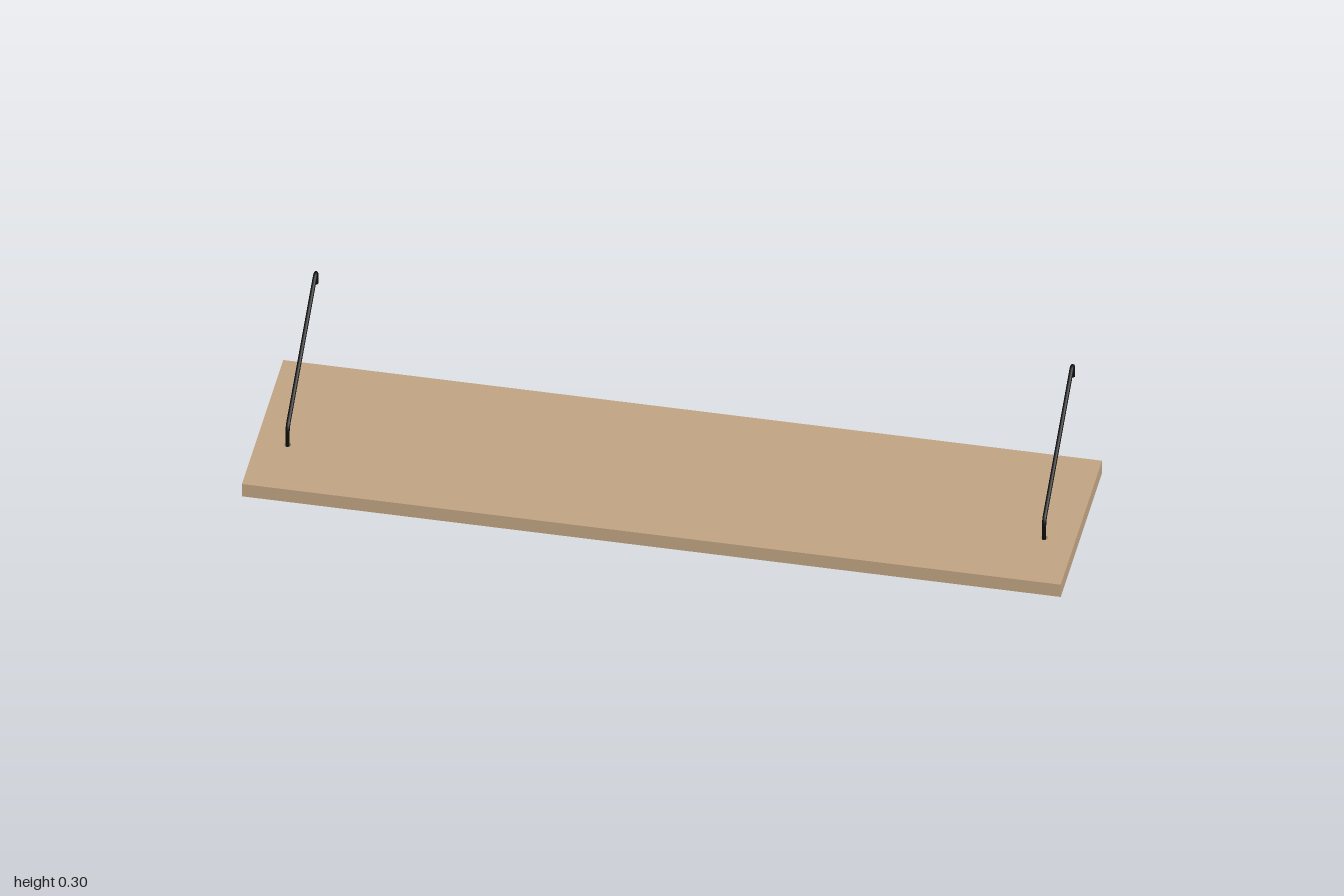
import * as THREE from 'three';

const wood = new THREE.MeshStandardMaterial({ color: 0xbfa382 });
wood.name = 'wood';
const black = new THREE.MeshStandardMaterial({ color: 0x0c0c0d });
black.name = 'black metal';

const ROD_X = 0.924, ROD_Z = 0.09;
const SPLIT = 0.016, BOTTOM = 0.002, TOP = 0.039;

// One layer of the board, with an opening below each rod
function boardLayer(name, y0, y1, makeHole) {
  const s = new THREE.Shape();
  s.moveTo(-1, -0.264).lineTo(1, -0.264).lineTo(1, 0.235).lineTo(-1, 0.235).closePath();
  for (const side of [-1, 1]) s.holes.push(makeHole(side * ROD_X));
  const g = new THREE.ExtrudeGeometry(s, { depth: y1 - y0, bevelEnabled: false, curveSegments: 10 });
  g.rotateX(-Math.PI / 2).translate(0, y0, 0);
  const mesh = new THREE.Mesh(g, wood);
  mesh.name = name;
  return mesh;
}

const roundHole = (x) => new THREE.Path().absarc(x, -ROD_Z, 0.009, 0, Math.PI * 2, true);
const slotHole = (x) => new THREE.Path()
  .moveTo(x - 0.007, -0.135).lineTo(x - 0.007, -0.045)
  .lineTo(x + 0.007, -0.045).lineTo(x + 0.007, -0.135).closePath();

// Bent round bar through [y, z] points, with rounded corners and closed ends
function bentBar(name, points, bend, radius, segments, material) {
  const p = points.map(([y, z]) => new THREE.Vector3(0, y, z));
  const path = new THREE.CurvePath();
  let from = p[0];
  for (let i = 1; i < p.length - 1; i++) {
    const a = p[i].clone().add(p[i - 1].clone().sub(p[i]).setLength(bend));
    const b = p[i].clone().add(p[i + 1].clone().sub(p[i]).setLength(bend));
    path.add(new THREE.LineCurve3(from, a));
    path.add(new THREE.QuadraticBezierCurve3(a, p[i], b));
    from = b;
  }
  path.add(new THREE.LineCurve3(from, p[p.length - 1]));

  const group = new THREE.Group();
  group.name = name;
  group.add(new THREE.Mesh(new THREE.TubeGeometry(path, segments, radius, 12), material));
  for (const t of [0, 1]) {
    const cap = new THREE.Mesh(new THREE.CircleGeometry(radius, 12), material);
    cap.position.copy(path.getPoint(t));
    const out = path.getTangent(t).multiplyScalar(t ? 1 : -1);
    cap.quaternion.setFromUnitVectors(new THREE.Vector3(0, 0, 1), out);
    group.add(cap);
  }
  return group;
}

export function createModel() {
  const model = new THREE.Group();
  model.name = 'hangingShelf';

  // Board with round holes on top and slots underneath
  model.add(boardLayer('boardTop', SPLIT, TOP, roundHole));
  model.add(boardLayer('boardUnderside', BOTTOM, SPLIT, slotHole));

  // Hanging rods, hooked at the back
  for (const side of [-1, 1]) {
    const rod = bentBar(side < 0 ? 'rightRod' : 'leftRod',
      [[0.02, ROD_Z], [0.089, ROD_Z], [0.306, -0.258], [0.265, -0.258]],
      0.02, 0.0053, 140, black);
    rod.position.x = side * ROD_X;
    model.add(rod);
  }

  // Small hooks along the back edge
  for (const x of [-0.735, -0.27, 0.23, 0.73]) {
    const hook = bentBar('backHook',
      [[0.02, -0.225], [0.02, -0.2585], [0, -0.2585]], 0.014, 0.004, 24, wood);
    hook.position.x = x;
    model.add(hook);
  }
  return model;
}
